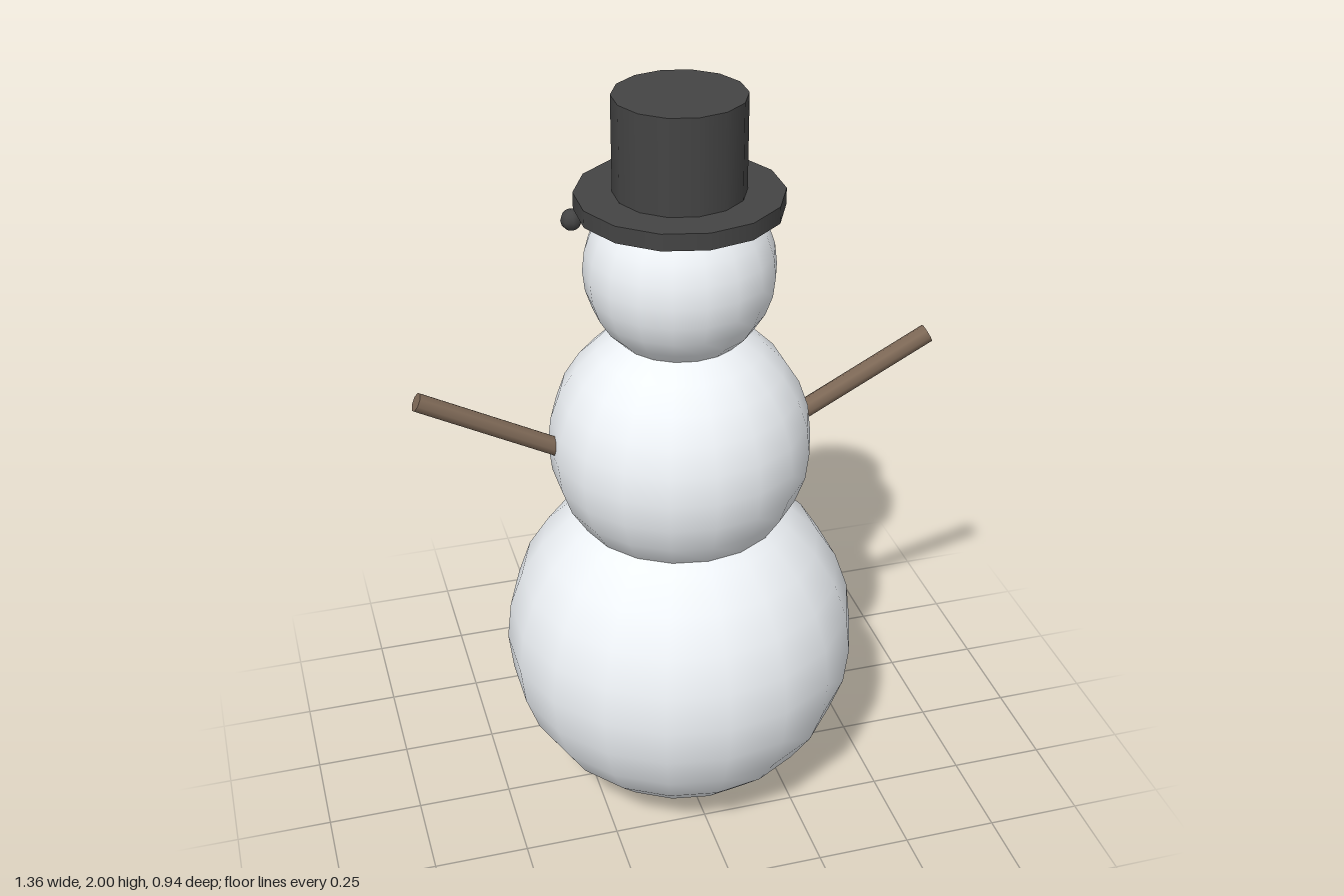
import * as THREE from 'three';

const mat = (color) => new THREE.MeshStandardMaterial({ color });

export function createModel() {
  const model = new THREE.Group();
  const snow = mat(0xeef2f6);
  const black = mat(0x444444);
  const wood = mat(0x7d6856);
  const orange = mat(0xe8a94c);

  const add = (name, geometry, material, x, y, z) => {
    const mesh = new THREE.Mesh(geometry, material);
    mesh.name = name;
    mesh.position.set(x, y, z);
    model.add(mesh);
    return mesh;
  };

  // Three stacked snowballs, with a corner of each ring on the z axis
  const ball = (r) => new THREE.SphereGeometry(r, 18, 14).rotateY(Math.PI / 2);
  add('lowerBody', ball(0.47), snow, 0, 0.47, 0);
  add('upperBody', ball(0.34), snow, 0, 1.07, 0);
  add('head', ball(0.24), snow, 0, 1.555, 0);

  // Top hat
  add('hatBrim', new THREE.CylinderGeometry(0.257, 0.257, 0.043, 14), black, 0, 1.736, 0);
  add('hatCrown', new THREE.CylinderGeometry(0.163, 0.163, 0.27, 14), black, 0, 1.865, 0);

  // Carrot nose: the tip touches the face and the wide end points away
  const nose = new THREE.ConeGeometry(0.052, 0.22, 12).rotateX(Math.PI / 2);
  add('nose', nose, orange, 0, 1.565, -0.345);

  // Coal buttons down the chest
  const coal = new THREE.SphereGeometry(0.028, 8, 6);
  for (const y of [1.19, 1.05, 0.913]) add('button', coal, black, 0, y, -0.325);

  // Eyes and stick arms, mirrored
  const up = new THREE.Vector3(0, 1, 0);
  for (const [side, s] of [['left', 1], ['right', -1]]) {
    add(side + 'Eye', coal, black, s * 0.222, 1.617, -0.211);
    const start = new THREE.Vector3(s * 0.29, 1.077, 0);
    const end = new THREE.Vector3(s * 0.67, 1.278, 0);
    const dir = end.clone().sub(start);
    const stick = new THREE.CylinderGeometry(0.025, 0.025, dir.length(), 8);
    const mid = start.clone().add(end).multiplyScalar(0.5);
    const arm = add(side + 'Arm', stick, wood, mid.x, mid.y, mid.z);
    arm.quaternion.setFromUnitVectors(up, dir.normalize());
  }
  return model;
}
